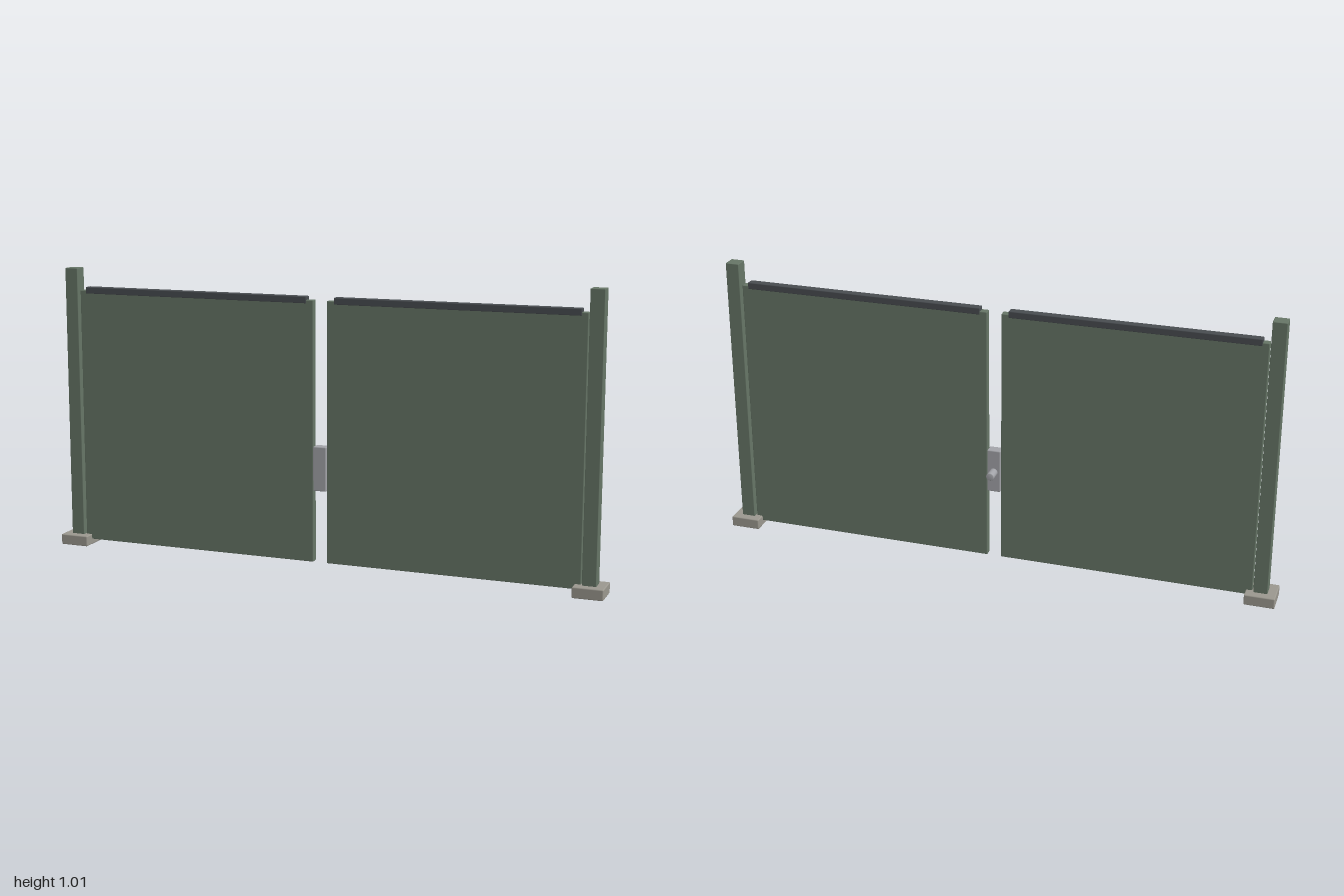
import * as THREE from 'three';
import { RoundedBoxGeometry } from 'three/addons/geometries/RoundedBoxGeometry.js';

const Z = 0.005; // mid-plane of the gate

const mat = (color) => new THREE.MeshStandardMaterial({ color });
const green = mat(0x667566);
const dark = mat(0x484c50);
const stone = mat(0x9a978e);
const steel = mat(0xa3a4a9);

// Slightly eased box given by its min and max corners
function block(name, material, [x0, y0, z0], [x1, y1, z1], radius = 0.003) {
  const geo = new RoundedBoxGeometry(x1 - x0, y1 - y0, z1 - z0, 2, radius);
  const mesh = new THREE.Mesh(geo, material);
  mesh.name = name;
  mesh.position.set((x0 + x1) / 2, (y0 + y1) / 2, (z0 + z1) / 2);
  return mesh;
}

// One post, its footing and one gate leaf, on the +x side
function createSide() {
  const side = new THREE.Group();
  side.add(
    block('footing', stone, [0.895, 0, Z - 0.0525], [1, 0.038, Z + 0.0525], 0.004),
    block('post', green, [0.922, 0.002, Z - 0.024], [0.97, 1.01, Z + 0.024], 0.002),
    block('gateLeaf', green, [0.025, 0.02, Z - 0.0135], [0.917, 0.932, Z + 0.0135]),
    block('topRail', dark, [0.05, 0.92, Z - 0.0145], [0.895, 0.944, Z + 0.0145])
  );
  return side;
}

export function createModel() {
  const gate = new THREE.Group();
  gate.name = 'doubleGate';

  // Symmetric halves: a half turn about the gate's mid-plane gives the other side
  const left = createSide();
  left.name = 'leftSide';
  const right = createSide();
  right.name = 'rightSide';
  right.rotation.y = Math.PI;
  right.position.z = 2 * Z;
  gate.add(left, right);

  // Latch between the leaves, with a knob at the back
  const latch = new THREE.Group();
  latch.name = 'latch';
  const plate = block('latchPlate', steel, [-0.024, 0.274, Z - 0.018], [0.024, 0.43, Z + 0.018], 0.004);
  const profile = [[0, 0], [0.014, 0], [0.014, 0.045], [0.012, 0.048], [0, 0.048]];
  const knob = new THREE.Mesh(
    new THREE.LatheGeometry(profile.map(([r, h]) => new THREE.Vector2(r, h)), 24),
    steel
  );
  knob.name = 'latchKnob';
  knob.rotation.x = -Math.PI / 2;
  knob.position.set(0, 0.349, -0.009);
  latch.add(plate, knob);
  gate.add(latch);

  return gate;
}
